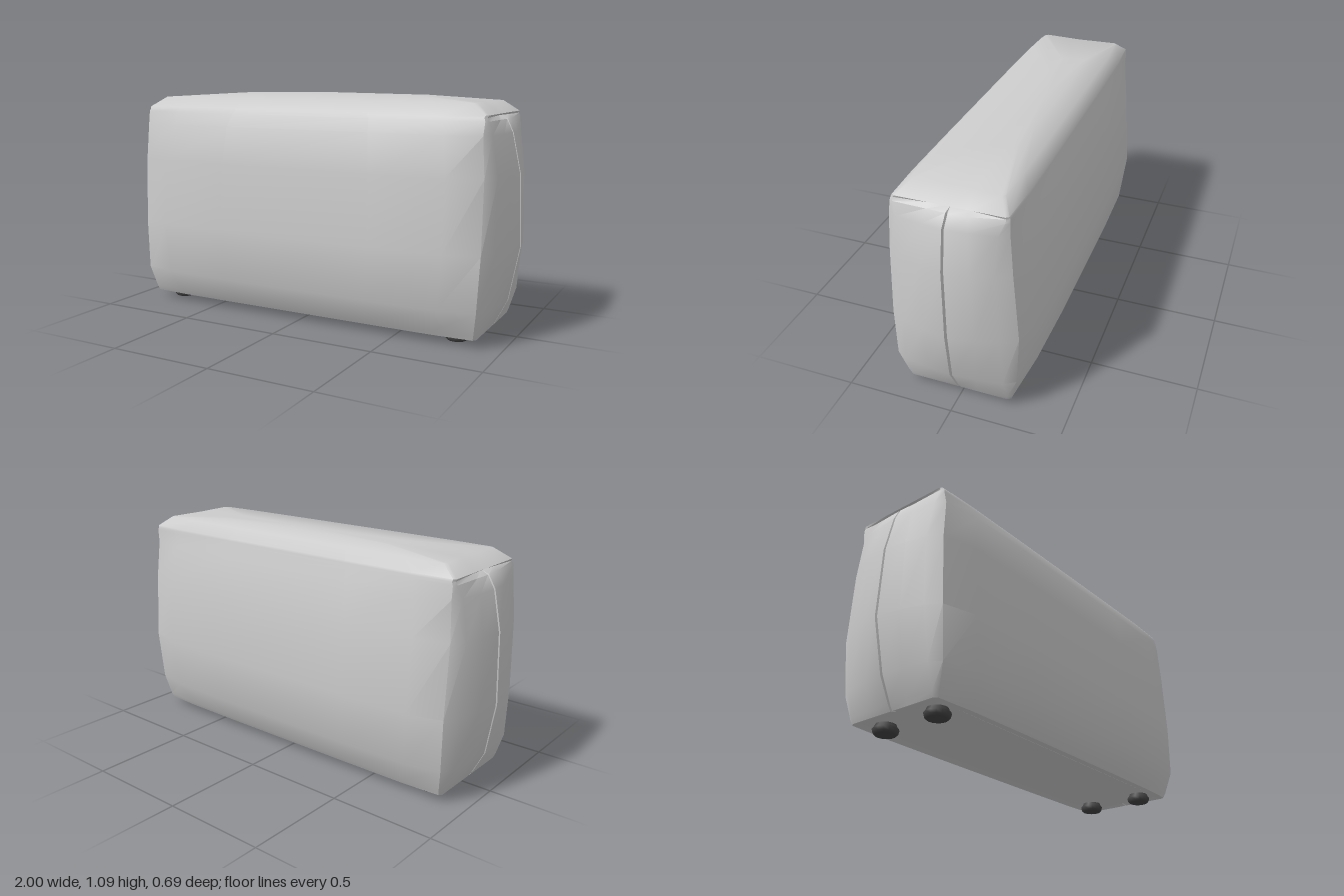
import * as THREE from 'three';
import { toCreasedNormals } from 'three/addons/utils/BufferGeometryUtils.js';

// Horizontal sections: height, x at end seam, x at corner, front z, back z, corner roundness
const SECTIONS = [
  [0.048, 0.86, 0.85, 0.205, -0.205, 0.3],
  [0.036, 0.885, 0.885, 0.265, -0.25, 0.3],
  [0.06, 0.90, 0.895, 0.28, -0.265, 0.4],
  [0.17, 0.955, 0.93, 0.336, -0.315, 0.8],
  [0.42, 1.0, 0.95, 0.345, -0.346, 1],
  [0.75, 0.988, 0.95, 0.326, -0.32, 1],
  [0.93, 0.95, 0.925, 0.30, -0.287, 0.7],
  [0.99, 0.92, 0.912, 0.268, -0.268, 0.3],
  [1.005, 0.885, 0.905, 0.262, -0.265, 0.25],
  [1.015, 0.908, 0.908, 0.255, -0.262, 0.25],
  [1.064, 0.83, 0.84, 0.205, -0.222, 0.3],
  [1.085, 0.5, 0.5, -0.01, -0.14, 0.5],
];

// One closed outline, running +x, +z, -x, -z
function outline([y, xe, xc, zf, zb, r]) {
  const notch = y > 0.03 && y < 1 ? 0.012 : 0;
  const quarter = [
    [xe - notch, 0],
    [xe, 0.02],
    [xe + (xc - xe) * 0.4, 0.34],
    [xc, 1 - 0.36 * r],
    [xc - 0.04 * r, 1 - 0.16 * r],
    [xc - 0.2, 1 - 0.03 * r],
    [xe * 0.4, 1],
  ];
  const mid = (zf + zb) / 2;
  const at = (sx, z) => ([x, t]) => new THREE.Vector3(sx * x, y, mid + (z - mid) * t);
  const back = quarter.slice(1).reverse();
  return [
    ...quarter.map(at(1, zf)),
    ...back.map(at(-1, zf)),
    ...quarter.map(at(-1, zb)),
    ...back.map(at(1, zb)),
  ];
}

function loft(rings) {
  const n = rings[0].length;
  const points = rings.flat();
  const index = [];
  for (let i = 0; i < rings.length - 1; i++) {
    for (let j = 0; j < n; j++) {
      const a = i * n + j, b = i * n + (j + 1) % n;
      index.push(a, a + n, b, b, a + n, b + n);
    }
  }
  // Close the top with a fan
  const last = (rings.length - 1) * n;
  points.push(new THREE.Vector3(0, 1.092, -0.08));
  for (let j = 0; j < n; j++) index.push(last + j, points.length - 1, last + (j + 1) % n);
  const geometry = new THREE.BufferGeometry().setFromPoints(points);
  geometry.setIndex(index);
  return toCreasedNormals(geometry, 0.75);
}

export function createModel() {
  const model = new THREE.Group();
  model.name = 'coveredCase';
  const grey = new THREE.MeshStandardMaterial({ color: 0xcccccc, side: THREE.DoubleSide });
  const dark = new THREE.MeshStandardMaterial({ color: 0x444444 });

  // Soft fabric cover with end seams, overhanging top flaps and a turned-in hem
  const cover = new THREE.Mesh(loft(SECTIONS.map(outline)), grey);
  cover.name = 'fabricCover';
  model.add(cover);

  // Underside of the case inside the cover
  const base = new THREE.Mesh(new THREE.BoxGeometry(1.74, 0.02, 0.43), grey);
  base.name = 'basePlate';
  base.position.y = 0.055;
  model.add(base);

  // Four rounded feet
  const profile = [[0, 0], [0.046, 0], [0.054, 0.008], [0.058, 0.024], [0.05, 0.034], [0.044, 0.05]]
    .map(([x, y]) => new THREE.Vector2(x, y));
  const footGeometry = new THREE.LatheGeometry(profile, 14);
  for (const x of [-0.775, 0.77]) {
    for (const z of [0.157, -0.142]) {
      const foot = new THREE.Mesh(footGeometry, dark);
      foot.name = 'foot';
      foot.position.set(x, 0, z);
      model.add(foot);
    }
  }
  return model;
}
